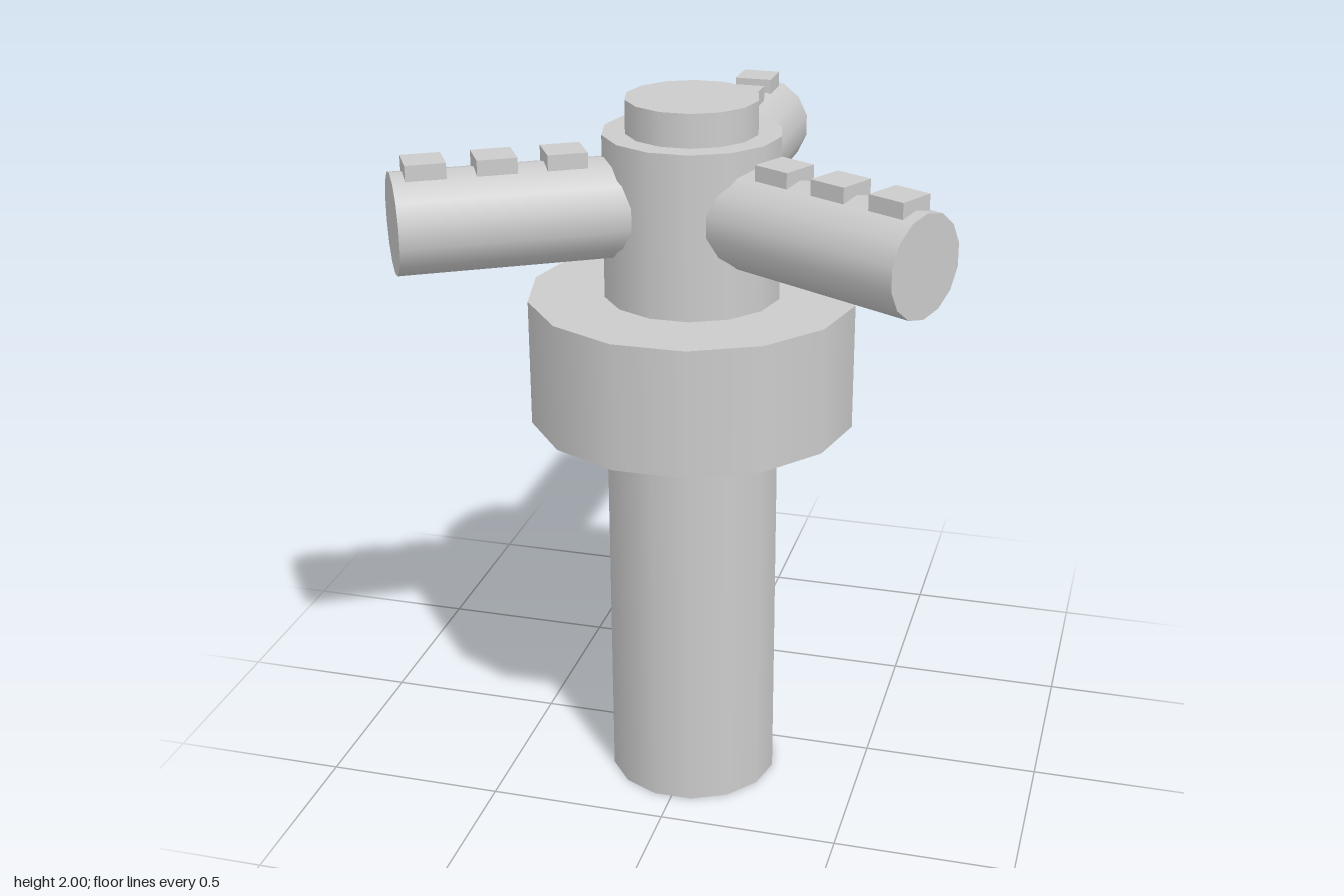
import * as THREE from 'three';

const SIDES = 14;
const material = new THREE.MeshStandardMaterial({ color: 0xcccccc });

function addMesh(parent, name, geometry, x = 0, y = 0, z = 0) {
  const mesh = new THREE.Mesh(geometry, material);
  mesh.name = name;
  mesh.position.set(x, y, z);
  parent.add(mesh);
  return mesh;
}

// 14-sided prism with a corner on the x axis
function prism(radius, height) {
  return new THREE.CylinderGeometry(radius, radius, height, SIDES, 1, false, Math.PI / 2);
}

// Arm whose outer end is the group's origin, pointing outward along local +x
function makeArm(name, x, z, degrees) {
  const arm = new THREE.Group();
  arm.name = name;
  arm.position.set(x, 1.72, z);
  arm.rotation.y = THREE.MathUtils.degToRad(degrees);

  const length = 0.7;
  addMesh(arm, name + 'Tube', prism(0.135, length).rotateZ(Math.PI / 2), -length / 2);

  // Row of small square studs along the top
  for (let i = 0; i < 3; i++) {
    addMesh(arm, name + 'Stud' + (i + 1),
      new THREE.BoxGeometry(0.105, 0.06, 0.105), -0.087 - 0.182 * i, 0.135, 0);
  }
  return arm;
}

export function createModel() {
  const model = new THREE.Group();
  model.name = 'threeArmedPost';

  // Central column, collar and top cap share one axis
  const column = new THREE.Group();
  column.name = 'column';
  column.position.set(0.004, 0, 0.157);
  model.add(column);
  addMesh(column, 'post', prism(0.24, 1.91), 0, 0.955);
  addMesh(column, 'collar', prism(0.447, 0.35), 0, 1.29);
  addMesh(column, 'topCap', prism(0.178, 0.12), 0, 1.94);

  // Three arms spread around the top
  model.add(makeArm('backArm', 0.005, -0.667, 89.4));
  model.add(makeArm('rightArm', -0.685, 0.55, 210));
  model.add(makeArm('leftArm', 0.687, 0.538, -28.2));
  return model;
}
